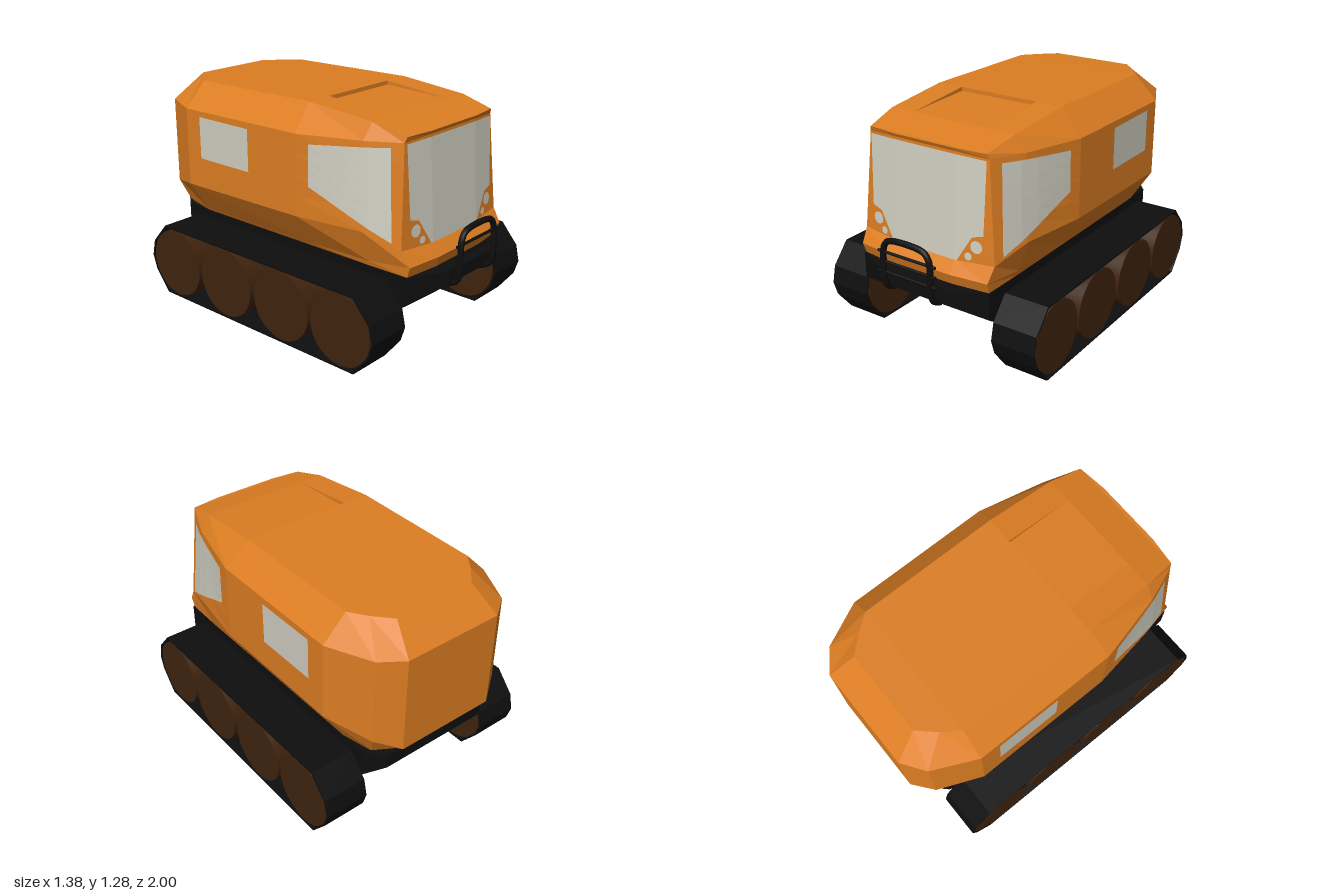
import * as THREE from 'three';

const mat = (name, color, side = THREE.FrontSide) => {
  const m = new THREE.MeshStandardMaterial({ color, side });
  m.name = name;
  return m;
};
const lerp = THREE.MathUtils.lerp;

// Faceted geometry from a list of quads, each with four corners
function quadGeometry(quads) {
  const pos = [];
  for (const [a, b, c, d] of quads) pos.push(...a, ...b, ...c, ...a, ...c, ...d);
  const g = new THREE.BufferGeometry();
  g.setAttribute('position', new THREE.Float32BufferAttribute(pos, 3));
  g.computeVertexNormals();
  return g;
}

// Closed loop from its +x half
const flip = ([x, y, z]) => [-x, y, z];
const mirrorLoop = half => [...half, ...half.map(flip).reverse()];

// Quads between successive mirrored loops
function loftQuads(rings) {
  const quads = [];
  for (let r = 0; r < rings.length - 1; r++) {
    const a = rings[r], b = rings[r + 1], n = a.length;
    for (let i = 0; i < n; i++) {
      const j = (i + 1) % n;
      quads.push([a[i], b[i], b[j], a[j]]);
    }
  }
  return quads;
}

// Cap strips joining each +x point to its mirror
function capQuads(half, last, skip = -1) {
  const quads = [];
  for (let i = 0; i < half.length - 1; i++) {
    if (i === skip) continue;
    const q = [half[i], half[i + 1], flip(half[i + 1]), flip(half[i])];
    quads.push(last ? q.reverse() : q);
  }
  return quads;
}

// Half outlines of the cab shell, each running from the back to the front
const SILL = [[.27, .48, -.9], [.38, .48, -.84], [.42, .48, -.66], [.42, .48, .2], [.42, .48, .6], [.415, .48, .84], [.2, .48, .865]];
const BUMPER = [[.28, .5, -.925], [.39, .5, -.86], [.432, .5, -.66], [.432, .5, .2], [.43, .51, .6], [.42, .54, .86], [.2, .54, .885]];
const BELT = [[.3, .56, -1], [.43, .62, -.91], [.55, .68, -.66], [.55, .69, .2], [.49, .69, .6], [.43, .62, .81], [.2, .605, .835]];
const SHOULDER = [[.3, 1.13, -1], [.43, 1.13, -.91], [.55, 1.135, -.66], [.55, 1.145, .2], [.46, 1.16, .58], [.385, 1.17, .78], [.2, 1.18, .8]];
const ROOF = [[.25, 1.27, -.85], [.34, 1.272, -.755], [.41, 1.275, -.66], [.41, 1.285, .17], [.4, 1.247, .59], [.375, 1.2, .79], [.2, 1.2, .81]];

// Point on a half outline's flank at a given z
function flankAt(line, z) {
  let i = 2;
  while (i < 4 && z > line[i + 1][2]) i++;
  const a = line[i], b = line[i + 1], t = (z - a[2]) / (b[2] - a[2]);
  return [lerp(a[0], b[0], t), lerp(a[1], b[1], t)];
}
function sideX(y, z) {
  const [x0, y0] = flankAt(BELT, z), [x1, y1] = flankAt(SHOULDER, z);
  return lerp(x0, x1, (y - y0) / (y1 - y0));
}
function frontZ(x, y) {
  const v = (y - .61) / .565;
  const edge = lerp(.43, .385, v);
  const t = Math.max(0, (Math.abs(x) - .2) / (edge - .2));
  return lerp(lerp(.835, .8, v), lerp(.81, .78, v), t);
}

// Thin pane lying on the flank; corner(u, v) gives [y, z]
function sidePane(corner, s) {
  const n = 4, quads = [];
  const p = (i, j) => {
    const [y, z] = corner(i / n, j / n);
    return [s * (sideX(y, z) + .005), y, z];
  };
  for (let i = 0; i < n; i++) for (let j = 0; j < n; j++) {
    const q = [p(i, j), p(i, j + 1), p(i + 1, j + 1), p(i + 1, j)];
    quads.push(s > 0 ? q : q.reverse());
  }
  return quadGeometry(quads);
}

// Flat shape bent onto the front face
function frontPane(shape) {
  const g = new THREE.ShapeGeometry(shape, 16).toNonIndexed(), p = g.attributes.position;
  for (let i = 0; i < p.count; i++) p.setZ(i, frontZ(p.getX(i), p.getY(i)) + .006);
  g.computeVertexNormals();
  return g;
}
const polygon = pts => new THREE.Shape(pts.map(([x, y]) => new THREE.Vector2(x, y)));

export function createModel() {
  const model = new THREE.Group();
  const orange = mat('orange paint', 0xdc7d22);
  const black = mat('black', 0x0e0e0e);
  const brown = mat('brown wheel', 0x3f230e);
  const glass = mat('pale glass', 0xcfcdc0, THREE.DoubleSide);
  const grey = mat('grey', 0x828282);
  const add = (name, geo, m, parent = model) => {
    const mesh = new THREE.Mesh(geo, m);
    mesh.name = name;
    parent.add(mesh);
    return mesh;
  };

  // Cab shell, with extra rings up the twisted flanks
  const between = [.25, .5, .75].map(t => BELT.map((p, i) => p.map((c, k) => lerp(c, SHOULDER[i][k], t))));
  const shell = loftQuads([SILL, BUMPER, BELT, ...between, SHOULDER, ROOF].map(mirrorLoop));
  shell.push(...capQuads(SILL, false), ...capQuads(ROOF, true, 3));
  // Roof around the hatch opening
  const [rb, rf] = [ROOF[3], ROOF[4]], w = .25;
  for (const s of [1, -1]) {
    const q = [[s * w, rb[1], rb[2]], [s * w, rf[1], rf[2]], [s * rf[0], rf[1], rf[2]], [s * rb[0], rb[1], rb[2]]];
    shell.push(s > 0 ? q : q.reverse());
  }
  add('cabShell', quadGeometry(shell), orange);

  // Roof hatch, sunk at its rear edge
  const sunk = rb[1] - .023, hatch = [
    [[-w, sunk, rb[2]], [-w, rf[1], rf[2]], [w, rf[1], rf[2]], [w, sunk, rb[2]]],
    [[-w, sunk, rb[2]], [w, sunk, rb[2]], [w, rb[1], rb[2]], [-w, rb[1], rb[2]]],
  ];
  for (const s of [1, -1]) {
    const q = [[s * w, sunk, rb[2]], [s * w, rf[1], rf[2]], [s * w, rf[1], rf[2]], [s * w, rb[1], rb[2]]];
    hatch.push(s > 0 ? q : q.reverse());
  }
  add('roofHatch', quadGeometry(hatch), orange);

  // Windscreen in three panels
  add('windscreenCentre', frontPane(polygon([[-.2, .608], [.2, .608], [.2, 1.168], [-.2, 1.168]])), glass);
  for (const s of [1, -1]) {
    const pts = [[.2, .608], [.212, .608], [.3, .752], [.365, .77], [.373, 1.162], [.2, 1.168]].map(([x, y]) => [s * x, y]);
    add('windscreenSide', frontPane(polygon(pts)), glass);

    // Headlights
    for (const [x, y, r] of [[.325, .703, .034], [.279, .644, .021]]) {
      add('headlight', frontPane(new THREE.Shape().absarc(s * x, y, r, 0, Math.PI * 2)), glass);
    }

    // Side windows
    add('frontSideWindow', sidePane((u, v) => [
      lerp(lerp(.87, .655, u), lerp(1.1, 1.14, u), v),
      lerp(.28, lerp(.76, .72, v), u)], s), glass);
    add('rearSideWindow', sidePane((u, v) => [lerp(.86, 1.105, v), lerp(-.545, -.155, u)], s), glass);
  }

  // Chassis: tunnel-shaped cross-sections of [z, half width, floor height]
  const sections = [[-.93, .34, .4], [-.83, .42, .32], [-.62, .42, .17], [.62, .42, .17], [.85, .42, .33], [.948, .2, .4]]
    .map(([z, hw, y]) => [[hw, .48, z], [hw, y, z], [hw * .74, y, z], [hw * .44, Math.max(y, .335), z]]);
  add('chassis', quadGeometry([
    ...loftQuads(sections.map(mirrorLoop)),
    ...capQuads(sections[0], false), ...capQuads(sections.at(-1), true),
  ]), black);

  // Track units: hollow belt with four wheels each
  const belt = [[.72, 0], [.82, .125], [.847, .21], [.825, .31], [.72, .433], [-.745, .433], [-.855, .31], [-.878, .21], [-.85, .125], [-.75, 0]];
  const beltShape = polygon(belt);
  beltShape.holes.push(new THREE.Path(belt.map(([z, y]) =>
    new THREE.Vector2(-.015 + (z + .015) * .989, .2165 + (y - .2165) * .955))));
  const beltGeo = new THREE.ExtrudeGeometry(beltShape, { depth: .262, bevelEnabled: false });
  const wheelGeo = new THREE.CylinderGeometry(.202, .202, .256, 40).rotateZ(Math.PI / 2);
  for (const s of [1, -1]) {
    const unit = new THREE.Group();
    unit.name = s > 0 ? 'leftTrack' : 'rightTrack';
    unit.position.x = s * .56;
    model.add(unit);
    const band = add('trackBelt', beltGeo, black, unit);
    band.rotation.y = -Math.PI / 2;
    band.position.x = .131;
    for (const z of [.623, .203, -.231, -.655]) add('wheel', wheelGeo, brown, unit).position.set(0, .216, z);
  }

  // Bull bar
  const half = [[.155, .38, .91], [.155, .41, .965], [.155, .45, .981], [.155, .6, .983], [.148, .645, .983], [.125, .677, .983], [.085, .691, .983]];
  const hoop = [...half, ...half.map(flip).reverse()].map(p => new THREE.Vector3(...p));
  add('bullBarHoop', new THREE.TubeGeometry(new THREE.CatmullRomCurve3(hoop, false, 'centripetal'), 64, .017, 10), black);
  for (const y of [.615, .56, .5]) {
    add('bullBarRail', new THREE.CylinderGeometry(.008, .008, .38, 8).rotateZ(Math.PI / 2), black).position.set(0, y, .983);
  }

  // Pair of legs standing under the chassis
  const legProfile = [[0, .02], [.018, .03], [.015, .075], [.019, .11], [.026, .165], [.026, .2], [.021, .235], [.026, .265], [.034, .338], [0, .338]]
    .map(([r, y]) => new THREE.Vector2(r, y));
  const legGeo = new THREE.LatheGeometry(legProfile, 14);
  const footGeo = new THREE.SphereGeometry(1, 14, 8).scale(.023, .018, .058);
  for (const s of [1, -1]) {
    const leg = new THREE.Group();
    leg.name = s > 0 ? 'leftLeg' : 'rightLeg';
    model.add(leg);
    const shin = add('shin', legGeo, grey, leg);
    shin.position.set(s * .076, 0, -.018);
    shin.rotation.z = s * .06;
    add('foot', footGeo, grey, leg).position.set(s * .074, .033, .02);
  }
  return model;
}
